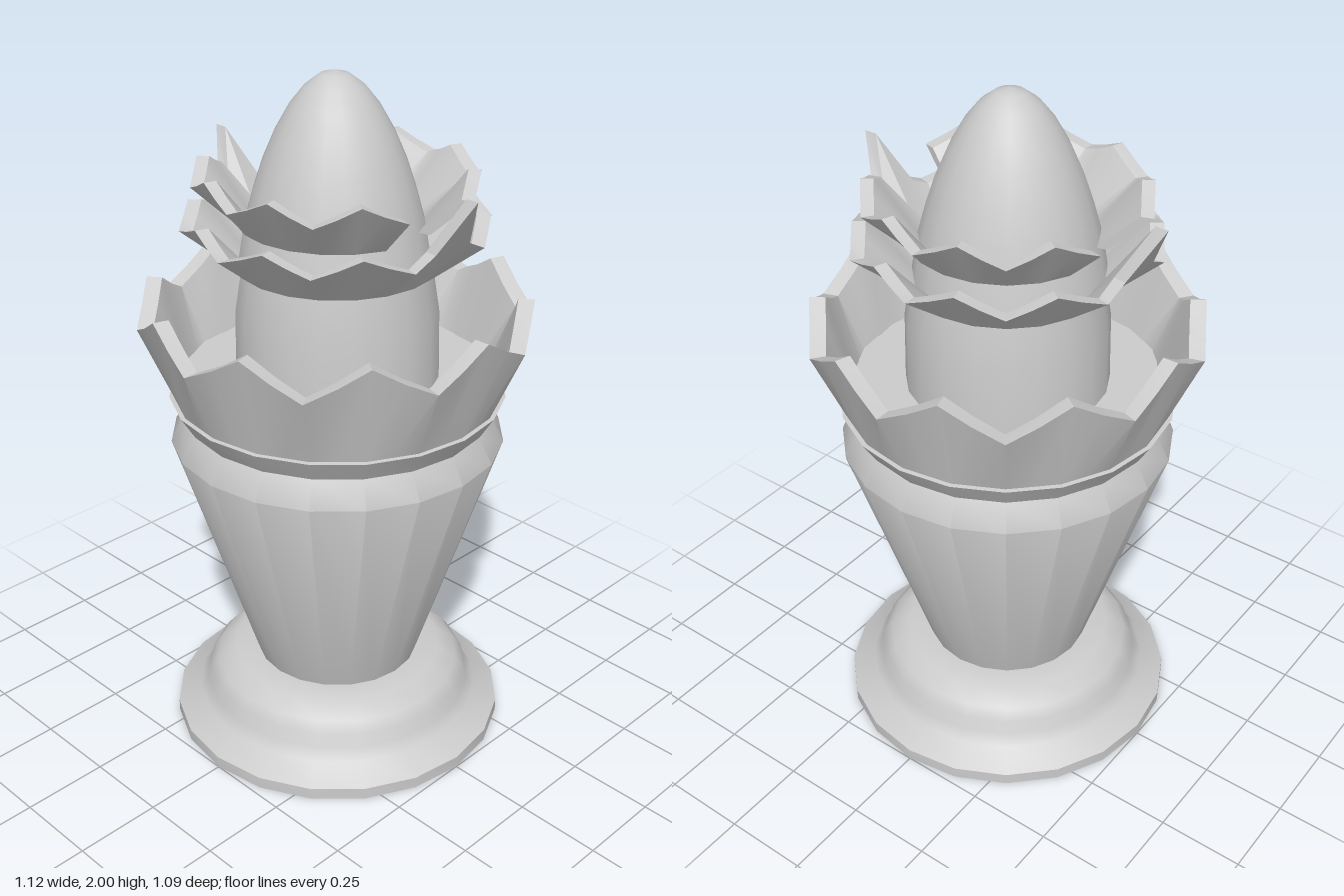
import * as THREE from 'three';
import { toCreasedNormals } from 'three/addons/utils/BufferGeometryUtils.js';

const SIDES = 20;
const material = new THREE.MeshStandardMaterial({ color: 0xcccccc, side: THREE.DoubleSide });

function addMesh(group, name, geometry, crease = 0.6) {
  const mesh = new THREE.Mesh(toCreasedNormals(geometry, crease), material);
  mesh.name = name;
  group.add(mesh);
  return mesh;
}

// Turned part from [radius, height] pairs, bottom to top
function turned(points) {
  return new THREE.LatheGeometry(points.map(([r, y]) => new THREE.Vector2(r, y)), SIDES);
}

// Flared wall with a zigzag rim: ten peaks around a full turn, one at the front.
// Steps are 9 degrees: every 4th is a peak, the ones halfway between are valleys.
function flaredRing({ foot, valley, peak, spike, thickness, from = 0, to = 40 }) {
  const positions = [];
  const indices = [];
  const rimAt = (step) => {
    const phase = ((step % 4) + 4) % 4;
    const onSpike = spike && step % 20 === 0;
    if (phase === 0) return onSpike ? spike : peak;
    if (phase === 2) return valley;
    if (spike && (step % 20 === 1 || step % 20 === 19)) return [valley[0] * 0.975, (valley[1] + peak[1]) / 2 + 0.01];
    return [(valley[0] + peak[0]) / 2 * 0.988, valley[1] * 0.55 + peak[1] * 0.45];
  };
  for (let s = from; s <= to; s++) {
    const a = s * Math.PI / 20;
    const [r, y] = rimAt(s);
    const footR = foot[0] * (s % 2 ? 0.988 : 1);
    const section = [[footR, foot[1]], [r, y], [r - thickness, y], [footR - thickness, foot[1]]];
    for (const [radius, h] of section) positions.push(radius * Math.sin(a), h, radius * Math.cos(a));
  }
  for (let j = 0; j < to - from; j++) {
    for (let k = 0; k < 4; k++) {
      const a = j * 4 + k, b = j * 4 + (k + 1) % 4;
      indices.push(a, a + 4, b + 4, a, b + 4, b);
    }
  }
  // End caps for open arcs
  if (to - from < 40) {
    const e = (to - from) * 4;
    indices.push(0, 1, 2, 0, 2, 3, e, e + 2, e + 1, e, e + 3, e + 2);
  }
  const geometry = new THREE.BufferGeometry();
  geometry.setAttribute('position', new THREE.Float32BufferAttribute(positions, 3));
  geometry.setIndex(indices);
  geometry.computeVertexNormals();
  return geometry;
}

export function createModel() {
  const group = new THREE.Group();
  group.name = 'crownedPiece';

  // Hollow foot, open underneath
  addMesh(group, 'base', turned([
    [0.5, 0], [0.5, 0.035], [0.43, 0.08], [0.405, 0.11], [0.395, 0.15], [0.37, 0.18], [0.315, 0.217], [0.23, 0.217],
  ]), 0.8);

  // Tapered body with a grooved collar and the floor inside the crown
  addMesh(group, 'body', turned([
    [0, 0.2], [0.24, 0.2], [0.48, 0.95], [0.44, 1.025], [0.48, 1.09], [0.44, 1.095], [0.44, 1.14], [0.27, 1.14],
  ]), 0.8);

  // Large crown wall
  addMesh(group, 'crown', flaredRing({
    foot: [0.467, 1.09], valley: [0.558, 1.3], peak: [0.545, 1.39], thickness: 0.045,
  }));

  // Neck rising from the crown
  addMesh(group, 'neck', turned([[0.29, 1.1], [0.285, 1.34], [0.265, 1.465], [0, 1.465]]));

  // Lower petal ring, with a tall spike at front and back
  addMesh(group, 'lowerPetals', flaredRing({
    foot: [0.285, 1.468], valley: [0.43, 1.58], peak: [0.415, 1.625], spike: [0.49, 1.755], thickness: 0.038,
  }));

  // Upper petals: two arcs, open at front and back
  for (const [name, from] of [['upperPetalsLeft', 2], ['upperPetalsRight', 22]]) {
    addMesh(group, name, flaredRing({
      foot: [0.275, 1.59], valley: [0.395, 1.7], peak: [0.385, 1.75], thickness: 0.035, from, to: from + 16,
    }));
  }

  // Egg-shaped finial
  const finial = addMesh(group, 'finial', turned([
    [0.27, 1.46], [0.25, 1.58], [0.222, 1.68], [0.195, 1.76], [0.16, 1.84], [0.12, 1.91],
    [0.08, 1.96], [0.04, 1.99], [0, 2],
  ]), 1);
  finial.position.x = -0.01;

  return group;
}
